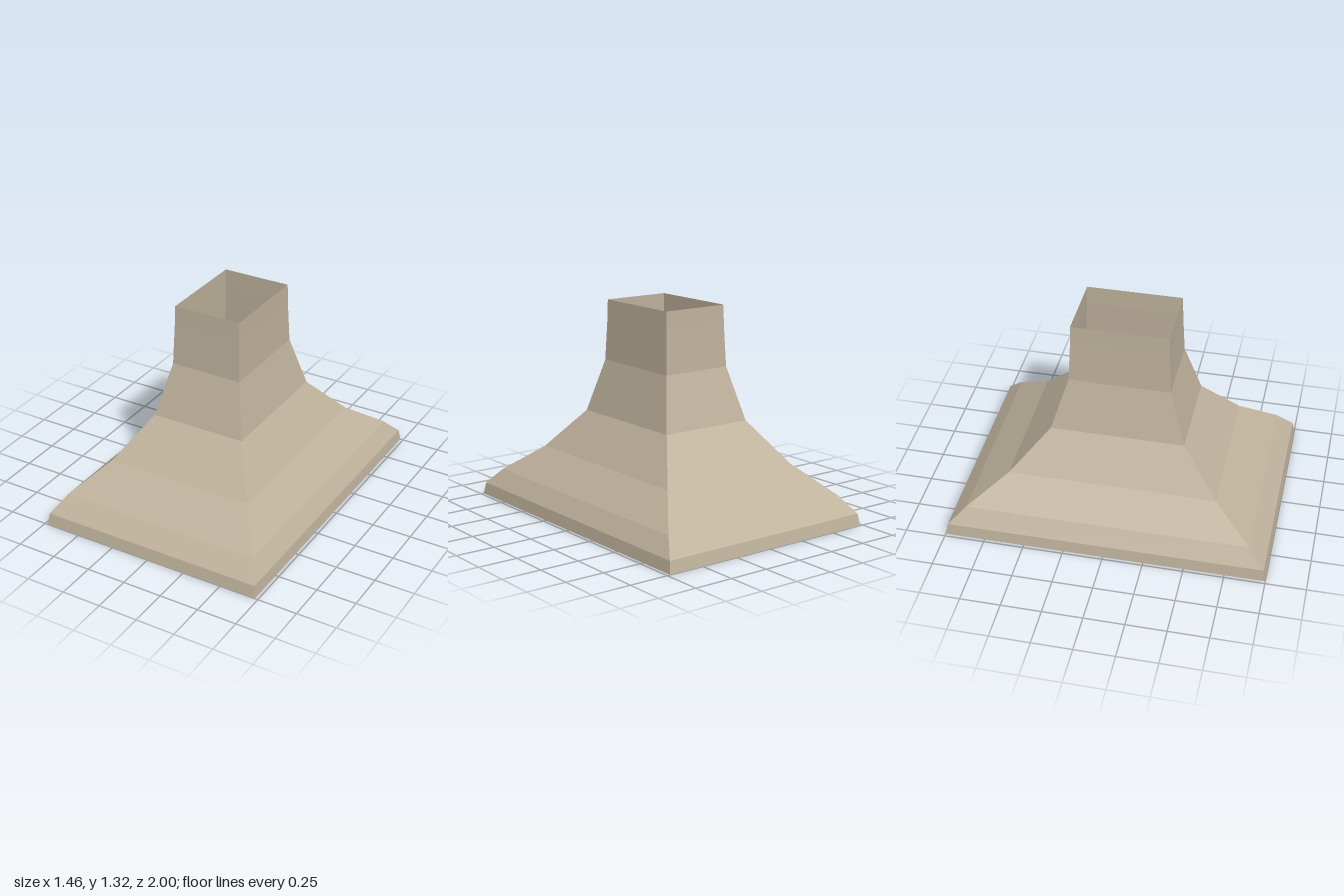
import * as THREE from 'three';

// Half width (x), height (y), half depth (z) of each rectangular section, bottom to top
const SECTIONS = [
  [0.73, 0, 1.0],
  [0.72, 0.075, 0.985],
  [0.65, 0.18, 0.88],
  [0.475, 0.355, 0.645],
  [0.305, 0.61, 0.415],
  [0.23, 0.94, 0.313],
  [0.22, 1.2, 0.3],
  [0.218, 1.32, 0.297],
];

// Corner signs, counter-clockwise seen from above
const CORNERS = [[1, 1], [1, -1], [-1, -1], [-1, 1]];

function corner([w, y, d], i) {
  const [sx, sz] = CORNERS[i % 4];
  return [sx * w, y, sz * d];
}

// Four-sided skin through consecutive sections
function loft(sections) {
  const pos = [];
  for (let s = 0; s < sections.length - 1; s++) {
    for (let i = 0; i < 4; i++) {
      const a = corner(sections[s], i);
      const b = corner(sections[s], i + 1);
      const c = corner(sections[s + 1], i + 1);
      const d = corner(sections[s + 1], i);
      pos.push(...a, ...b, ...c, ...a, ...c, ...d);
    }
  }
  const geometry = new THREE.BufferGeometry();
  geometry.setAttribute('position', new THREE.Float32BufferAttribute(pos, 3));
  geometry.computeVertexNormals();
  return geometry;
}

export function createModel() {
  const group = new THREE.Group();
  group.name = 'flaredHood';
  const material = new THREE.MeshStandardMaterial({
    color: 0xbfb29c, flatShading: true, side: THREE.DoubleSide,
  });
  const add = (name, geometry) => {
    const mesh = new THREE.Mesh(geometry, material);
    mesh.name = name;
    group.add(mesh);
  };

  // Lip, sweeping flare and open-topped neck
  add('rim', loft(SECTIONS.slice(0, 2)));
  add('flare', loft(SECTIONS.slice(1, 6)));
  add('neck', loft(SECTIONS.slice(5)));

  // Closed underside
  const [w, , d] = SECTIONS[0];
  add('basePlate', new THREE.PlaneGeometry(2 * w, 2 * d).rotateX(Math.PI / 2));

  return group;
}
